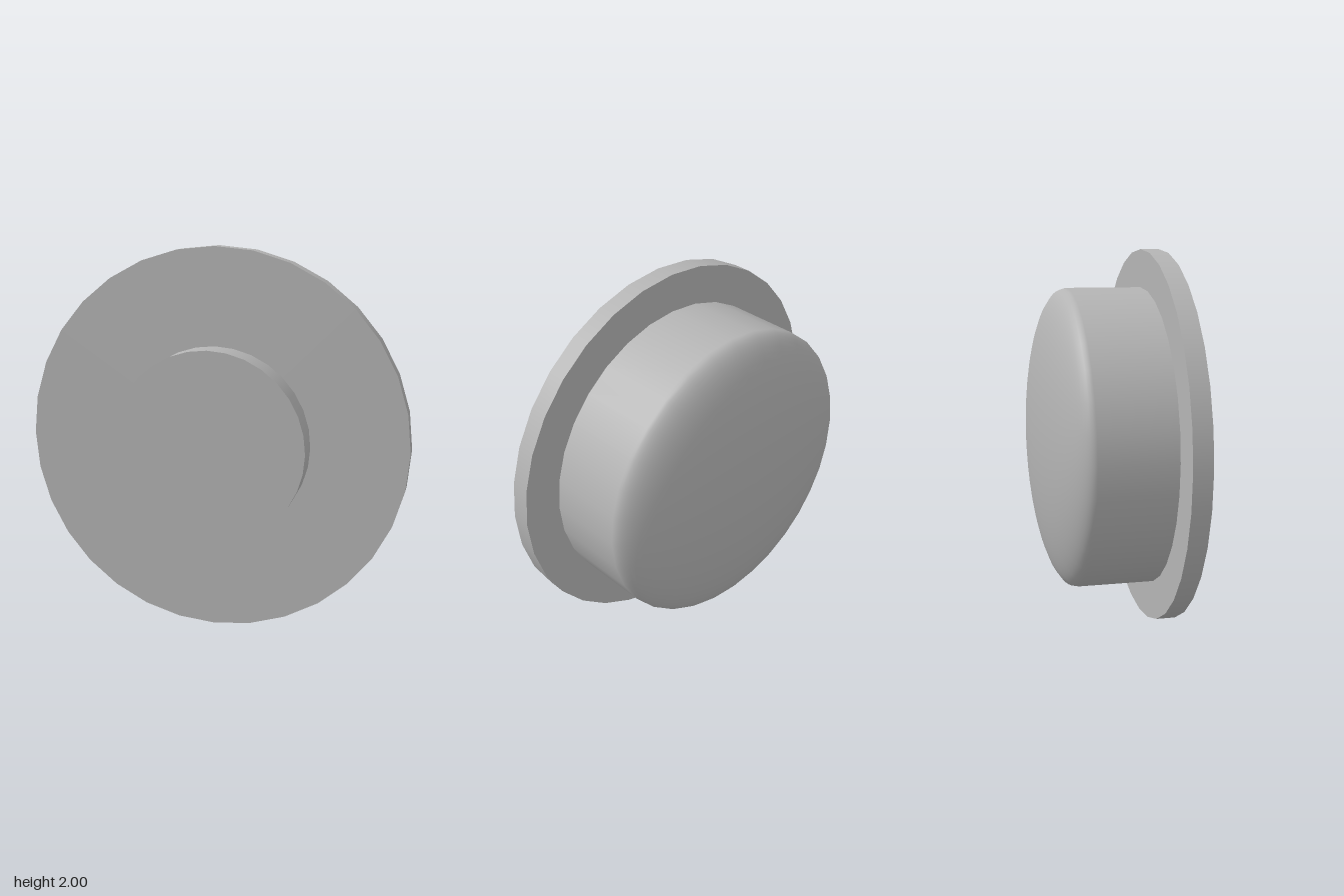
import * as THREE from 'three';

export function createModel() {
  const model = new THREE.Group();
  model.name = 'domedKnob';
  const grey = new THREE.MeshStandardMaterial({ color: 0xb4b4b4 });
  grey.name = 'plain grey';

  // All parts share one axis (local z), turned about the vertical;
  // local z = 0 is the back face of the flange.
  const body = new THREE.Group();
  body.name = 'body';
  body.position.set(0.011, 1, 0.145);
  body.rotation.y = THREE.MathUtils.degToRad(-16.65);
  model.add(body);

  const addDisc = (name, radius, depth, back) => {
    const geometry = new THREE.CylinderGeometry(radius, radius, depth, 32);
    geometry.rotateX(Math.PI / 2);
    const disc = new THREE.Mesh(geometry, grey);
    disc.name = name;
    disc.position.z = back + depth / 2;
    body.add(disc);
  };
  addDisc('flange', 1, 0.1, 0);
  addDisc('frontBoss', 0.5, 0.155, 0.1);

  // Straight wall that runs smoothly into a flattened elliptical dome
  const radius = 0.8, wall = 0.4, rise = 0.2, steps = 20;
  const profile = [new THREE.Vector2(radius, 0)];
  for (let i = 0; i <= steps; i++) {
    const a = (i / steps) * Math.PI / 2;
    const r = i === steps ? 0 : radius * Math.cos(a);
    profile.push(new THREE.Vector2(r, wall + rise * Math.sin(a)));
  }
  const domeGeometry = new THREE.LatheGeometry(profile, 32);
  domeGeometry.rotateX(-Math.PI / 2);
  const dome = new THREE.Mesh(domeGeometry, grey);
  dome.name = 'rearDome';
  body.add(dome);

  return model;
}
